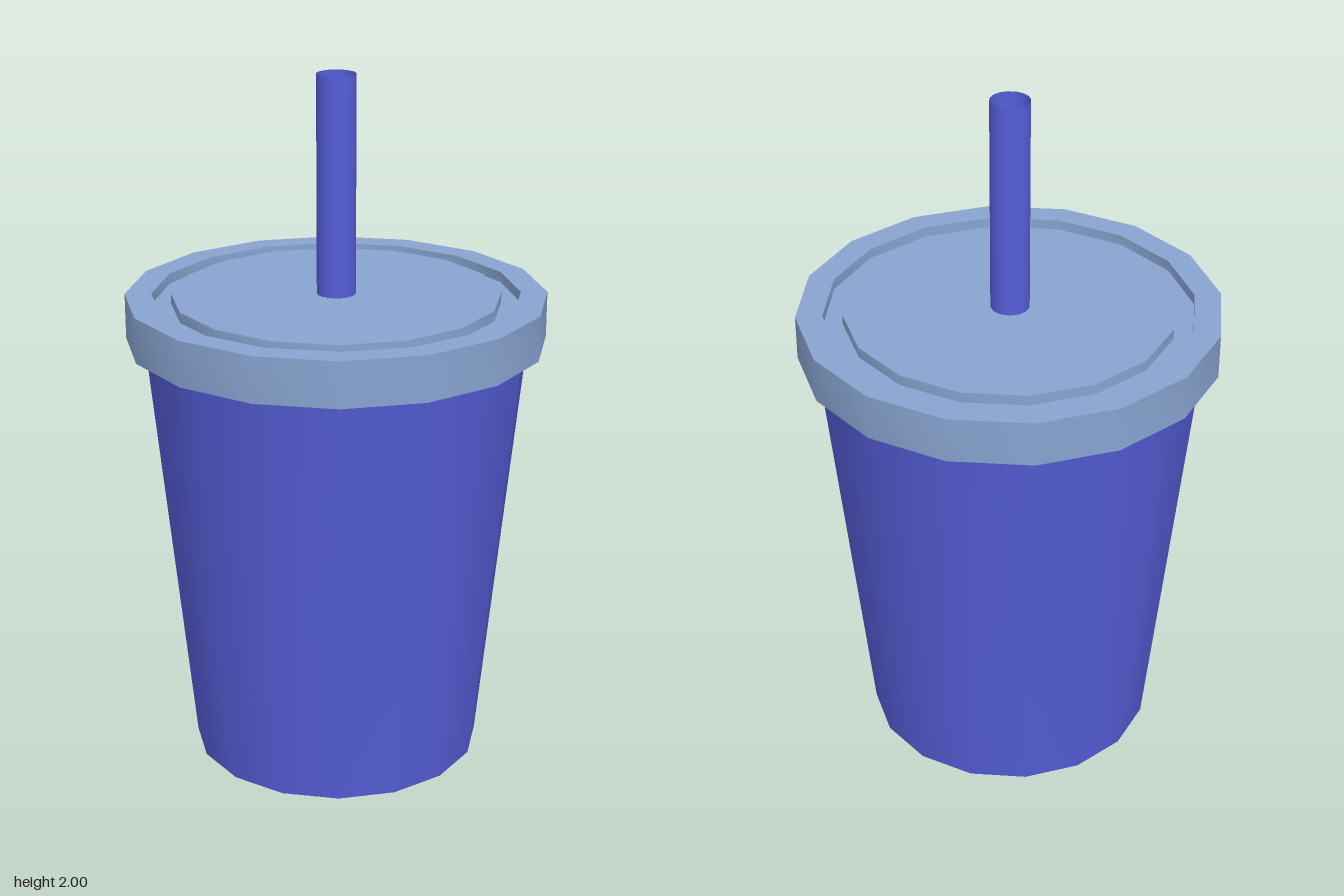
import * as THREE from 'three';
import { toCreasedNormals } from 'three/addons/utils/BufferGeometryUtils.js';

const SIDES = 16;

// Surface of revolution from [radius, height] pairs
function lathe(profile) {
  return new THREE.LatheGeometry(profile.map(([r, y]) => new THREE.Vector2(r, y)), SIDES);
}

export function createModel() {
  const group = new THREE.Group();
  const blue = new THREE.MeshStandardMaterial({ color: 0x555ed8, side: THREE.DoubleSide });
  const paleBlue = new THREE.MeshStandardMaterial({ color: 0x88a4d0, side: THREE.DoubleSide });

  const add = (name, geometry, material) => {
    const mesh = new THREE.Mesh(geometry, material);
    mesh.name = name;
    group.add(mesh);
  };

  // Tapered thin-walled cup, open below, with a ledge under the lid;
  // normals stay smooth across the ledge
  add('cup', lathe([[0.42, 0], [0.545, 1.25], [0.595, 1.25]]), blue);

  // Lid: outer band, flat rim, sunken ring groove and raised centre disc
  const lid = lathe([
    [0.595, 1.25], [0.595, 1.38], [0.52, 1.38], [0.52, 1.35],
    [0.465, 1.35], [0.465, 1.38], [0, 1.38],
  ]);
  add('lid', toCreasedNormals(lid, Math.PI / 4), paleBlue);

  // Hollow straw standing on the lid
  add('straw', lathe([[0.055, 1.38], [0.055, 2]]), blue);

  return group;
}
